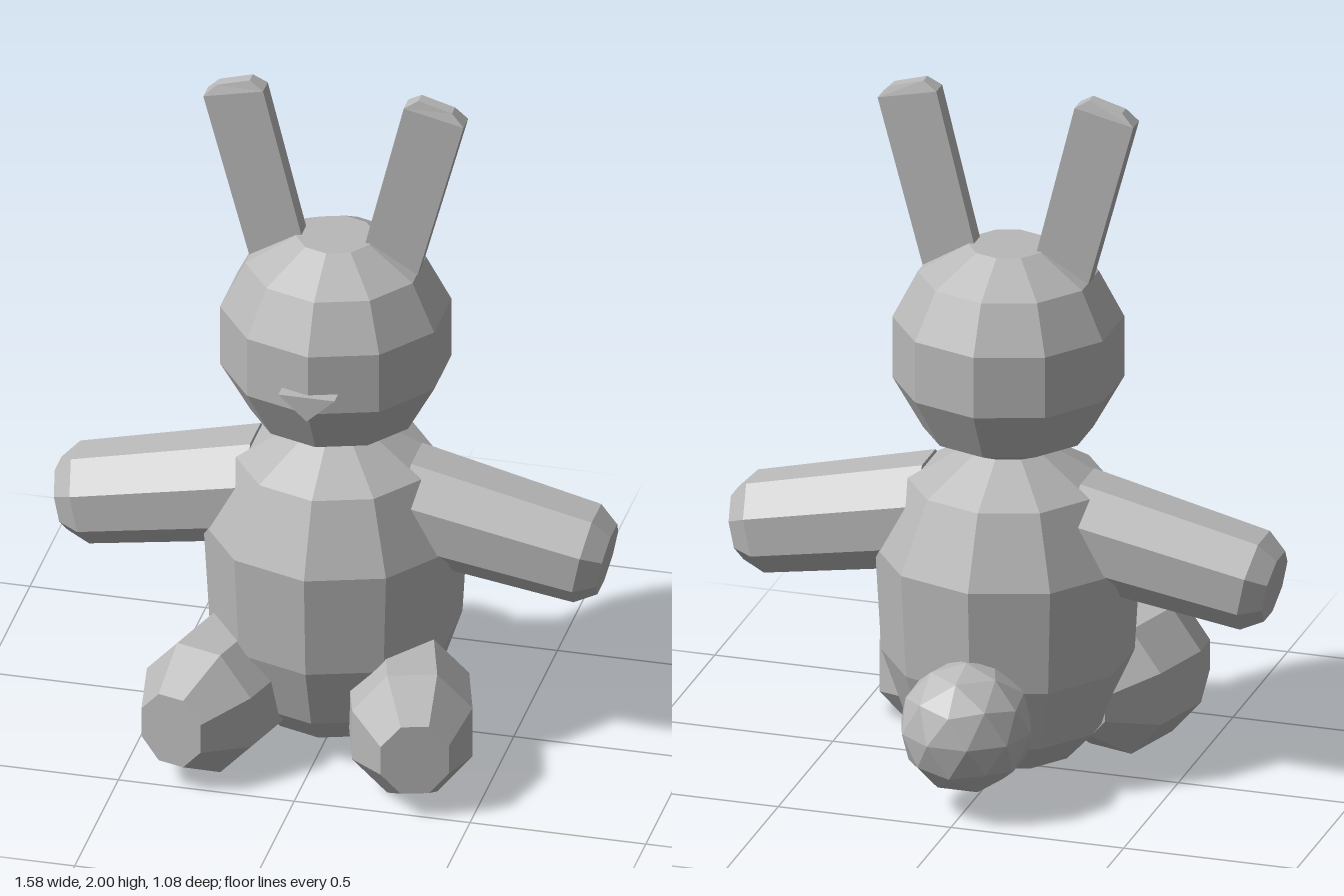
import * as THREE from 'three';

const grey = new THREE.MeshStandardMaterial({ color: 0xb8b8b8, flatShading: true });
grey.name = 'grey';

function part(name, geometry, x = 0, y = 0, z = 0) {
  const mesh = new THREE.Mesh(geometry, grey);
  mesh.name = name;
  mesh.position.set(x, y, z);
  return mesh;
}

// Closed faceted solid of revolution; profile is [radius, height] from bottom to top
function turned(profile, sides) {
  const pts = [[0, profile[0][1]], ...profile, [0, profile[profile.length - 1][1]]];
  return new THREE.LatheGeometry(pts.map(([r, h]) => new THREE.Vector2(r, h)), sides);
}

// Eight-sided limb along y with flat faces on the axes; radii measured to the flats
function limb(profile) {
  const k = Math.cos(Math.PI / 8);
  return turned(profile.map(([r, h]) => [r / k, h]), 8).rotateY(Math.PI / 8);
}

// Thin leaning slab; rows are [inner x, inner y, outer x, outer y, half depth] from top to bottom
function earGeometry() {
  const rows = [
    [0.24, 2.0, 0.335, 1.973, 0.018],
    [0.2, 1.975, 0.37, 1.937, 0.027],
    [0.06, 1.41, 0.225, 1.4, 0.027],
  ];
  const g = new THREE.BoxGeometry(2, 2, 2, 1, 2, 1);
  const p = g.attributes.position;
  for (let i = 0; i < p.count; i++) {
    const [ix, iy, ox, oy, d] = rows[1 - Math.round(p.getY(i))];
    const outer = p.getX(i) > 0;
    p.setXYZ(i, outer ? ox : ix, outer ? oy : iy, Math.sign(p.getZ(i)) * d);
  }
  g.computeVertexNormals();
  return g;
}

export function createModel() {
  const model = new THREE.Group();
  model.name = 'rabbit';

  // Body and head
  model.add(part('body', turned([
    [0.2, 0.05], [0.285, 0.14], [0.35, 0.33], [0.367, 0.635], [0.277, 0.84], [0.11, 0.94],
  ], 10), 0, 0, 0.022));
  model.add(part('head', turned([
    [0.11, 0.935], [0.235, 0.99], [0.32, 1.14], [0.32, 1.32], [0.25, 1.455], [0.11, 1.535],
  ], 10), 0, 0, 0.025));

  // Nose
  const triangle = new THREE.Shape([[-0.08, 1.2], [0, 1.125], [0.08, 1.2]].map(([x, y]) => new THREE.Vector2(x, y)));
  model.add(part('nose', new THREE.ExtrudeGeometry(triangle, { depth: 0.04, bevelEnabled: false }), 0, 0, 0.32));

  // Round tail with a vertex pointing straight up
  const tail = new THREE.IcosahedronGeometry(0.1875, 1).rotateX(-Math.atan((1 + Math.sqrt(5)) / 2)).rotateY(Math.PI);
  model.add(part('tail', tail, 0, 0.248, -0.36));

  // Mirrored ears, arms and legs
  const arm = limb([[0.15, 0], [0.132, 0.525], [0.094, 0.583]]).rotateZ(-Math.PI / 2 - 0.198);
  const leg = limb([[0.09, 0], [0.185, 0.147], [0.185, 0.345], [0.105, 0.496]])
    .rotateX(Math.PI / 2).scale(0.9, 1, 1).rotateY(0.29);
  const ear = earGeometry();
  for (const [side, sign] of [['left', 1], ['right', -1]]) {
    const half = new THREE.Group();
    half.name = side + 'Limbs';
    half.scale.x = sign;
    half.add(
      part(side + 'Ear', ear, 0, 0, 0.025),
      part(side + 'Arm', arm, 0.2, 0.725, 0.022),
      part(side + 'Leg', leg, 0.205, 0.185, 0.04),
    );
    model.add(half);
  }
  return model;
}
